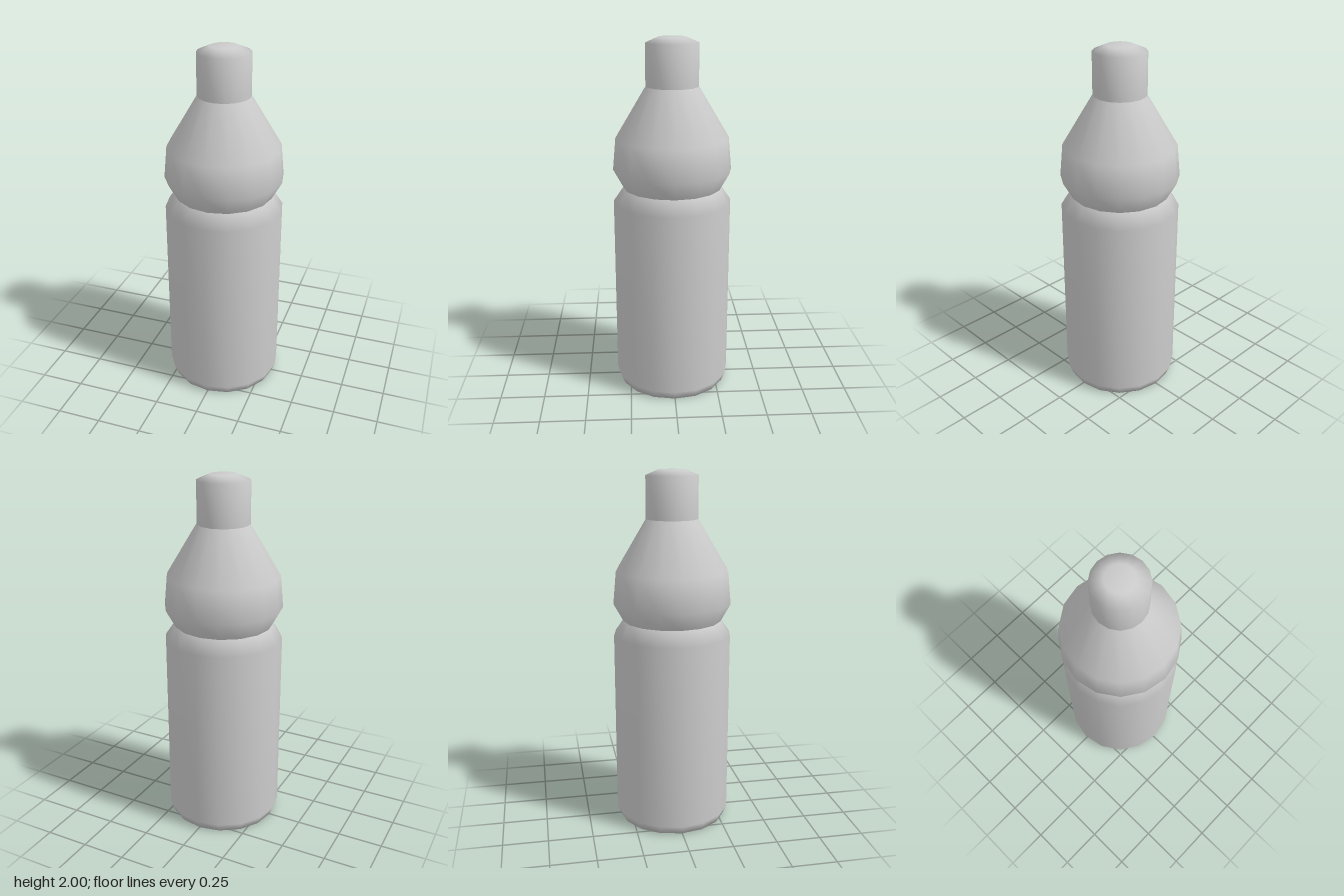
import * as THREE from 'three';

const SIDES = 16;

// Smooth turned part from a bottom-to-top list of [radius, height]
function turned(name, profile, material) {
  const points = profile.map(([r, y]) => new THREE.Vector2(r, y));
  const mesh = new THREE.Mesh(new THREE.LatheGeometry(points, SIDES), material);
  mesh.name = name;
  return mesh;
}

export function createModel() {
  const group = new THREE.Group();
  group.name = 'bottle';
  const material = new THREE.MeshStandardMaterial({ color: 0xcccccc });

  // Separate parts keep the waist and neck joints crisp
  group.add(
    turned('body', [[0, 0], [0.31, 0], [0.33, 0.05], [0.33, 1.1], [0.275, 1.18]], material),
    turned('shoulder', [[0.275, 1.18], [0.33, 1.28], [0.313, 1.46], [0.145, 1.74]], material),
    turned('neckAndCap', [[0.145, 1.74], [0.145, 1.97], [0.075, 2], [0, 2]], material),
  );
  return group;
}
